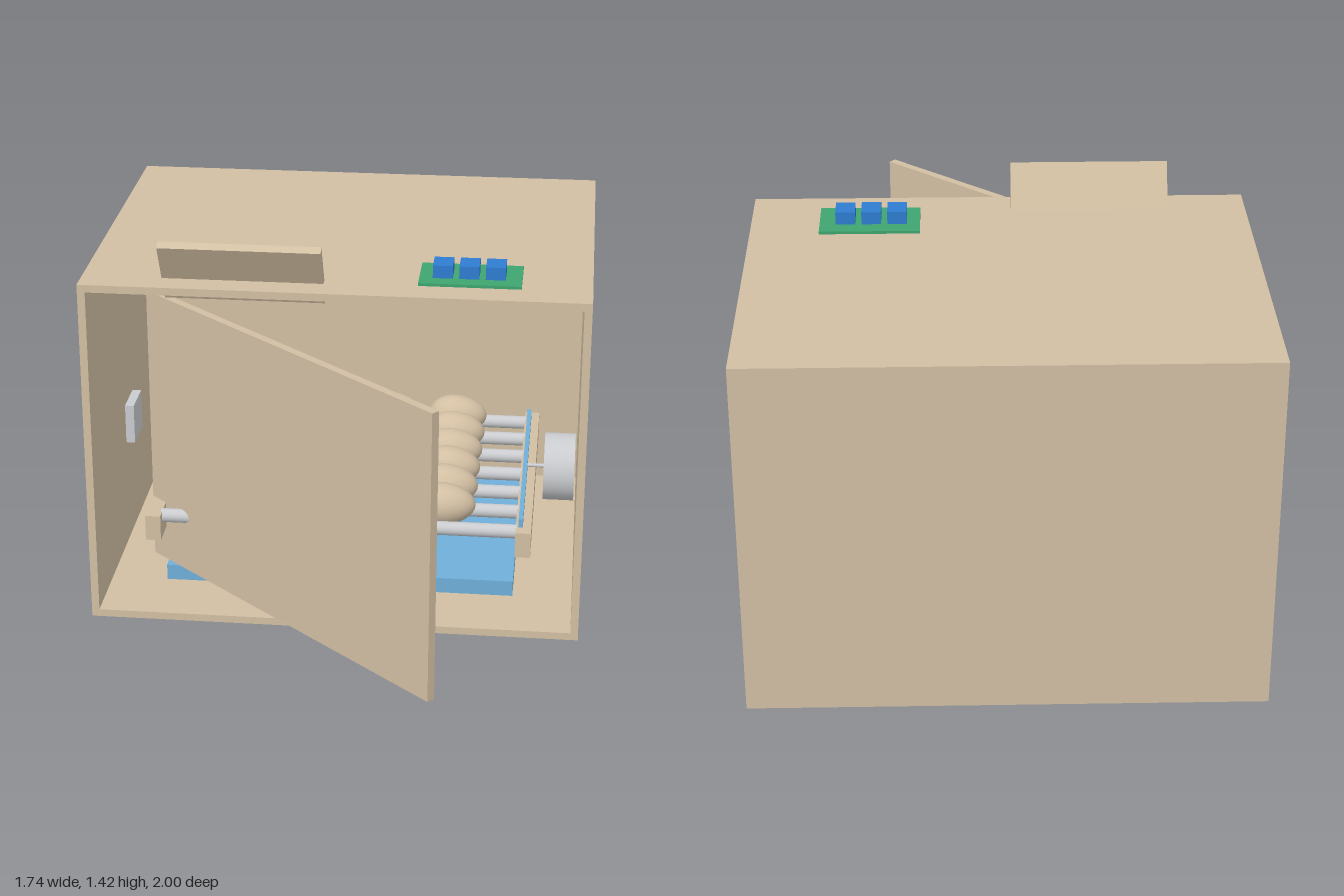
import * as THREE from 'three';

const material = (name, color) => {
  const m = new THREE.MeshStandardMaterial({ color });
  m.name = name;
  return m;
};

export function createModel() {
  const model = new THREE.Group();
  model.name = 'eggIncubator';
  const beige = material('beige', 0xd2bfa3);
  const steel = material('lightGrey', 0xc9cbce);
  const blue = material('waterBlue', 0x6fafd9);
  const green = material('boardGreen', 0x3fa56f);
  const button = material('buttonBlue', 0x2f7dd1);
  const amber = material('bulbAmber', 0xd8943c);

  const add = (name, geometry, mat, x = 0, y = 0, z = 0, parent = model) => {
    const mesh = new THREE.Mesh(geometry, mat);
    mesh.name = name;
    mesh.position.set(x, y, z);
    parent.add(mesh);
    return mesh;
  };
  // Box given by its limits on each axis
  const block = (name, mat, [x0, x1], [y0, y1], [z0, z1], parent = model) =>
    add(name, new THREE.BoxGeometry(x1 - x0, y1 - y0, z1 - z0), mat,
      (x0 + x1) / 2, (y0 + y1) / 2, (z0 + z1) / 2, parent);
  const rod = (radius, length, sides = 32) =>
    new THREE.CylinderGeometry(radius, radius, length, sides).rotateZ(Math.PI / 2);

  // Cabinet, open at the front
  const W = 0.87, H = 1.27, T = 0.027, FRONT = 0.325, MID = -0.34;
  const cabinet = new THREE.Group();
  cabinet.name = 'cabinet';
  model.add(cabinet);
  block('floor', beige, [-W, W], [0, T], [-1, FRONT], cabinet);
  block('roof', beige, [-W, W], [H - T, H], [-1, FRONT], cabinet);
  block('rightWall', beige, [-W, T - W], [T, H - T], [-1, FRONT], cabinet);
  block('leftWall', beige, [W - T, W], [T, H - T], [-1, FRONT], cabinet);
  block('backWall', beige, [T - W, W - T], [T, H - T], [-1, T - 1], cabinet);

  // Door swung ajar and the tilted vent flap on the roof
  const door = add('door', new THREE.BoxGeometry(1.447, 1.03, 0.03), beige, -0.1425, 0.63, 0.5);
  door.rotation.y = -THREE.MathUtils.degToRad(42);
  const flap = add('ventFlap', new THREE.BoxGeometry(0.555, 0.26, 0.03), beige, -0.3175, 1.3, 0.23);
  flap.rotation.x = Math.PI / 6;

  // Control board with three buttons
  block('controlBoard', green, [0.28, 0.63], [H, 1.28], [0.01, 0.215]);
  for (const x of [0.36, 0.45, 0.54])
    block('controlButton', button, [x - 0.034, x + 0.034], [1.28, 1.325], [0.07, 0.16]);

  // Two hanging lamps
  for (const x of [-0.455, 0.455]) {
    add('lampSocket', new THREE.CylinderGeometry(0.075, 0.075, 0.1, 32), steel, x, 1.193, MID);
    add('bulb', new THREE.SphereGeometry(0.09, 32, 20), amber, x, 1.09, MID);
  }

  // Sensor under the roof
  block('sensorMount', beige, [-0.11, 0.11], [1.22, 1.243], [MID - 0.08, MID + 0.08]);
  block('sensorBoard', green, [-0.08, 0.08], [1.203, 1.22], [MID - 0.055, MID + 0.055]);
  add('sensorProbe', new THREE.CylinderGeometry(0.034, 0.034, 0.06, 24), beige, 0, 1.174, MID);

  // Vent fan on the side wall
  block('wallFan', steel, [T - W, -0.81], [0.42, 0.57], [MID - 0.075, MID + 0.075]);

  // Water tray
  block('waterTray', blue, [-0.63, 0.63], [0.055, 0.113], [-0.8, 0.12]);

  // Turning rack: side rails and rollers
  for (const s of [-1, 1])
    block('sideRail', beige, s < 0 ? [-0.69, -0.635] : [0.635, 0.69], [0.25, 0.345], [-0.875, 0.195]);
  const rollerGeometry = rod(0.025, 1.28, 24);
  for (let i = 0; i < 7; i++)
    add('roller', rollerGeometry, steel, 0, 0.325, 0.14 - i * 0.16);

  // Eggs lying between the rollers, slightly pointed towards the left
  const profile = [];
  for (let i = 0; i <= 16; i++) {
    const a = Math.PI * i / 16;
    const y = -Math.cos(a);
    profile.push(new THREE.Vector2(Math.max(0, 0.077 * Math.sin(a) * (1 - 0.12 * y)), 0.112 * y));
  }
  const eggGeometry = new THREE.LatheGeometry(profile, 24).rotateZ(-Math.PI / 2);
  for (let row = 0; row < 6; row++)
    for (let col = 0; col < 4; col++)
      add('egg', eggGeometry, beige, -0.375 + col * 0.25, 0.383, 0.06 - row * 0.16);

  // Motor, its shaft and the link bar that turns the rollers
  add('motor', rod(0.125, 0.113, 40), steel, 0.778, 0.365, MID);
  add('motorShaft', rod(0.007, 0.08, 16), steel, 0.69, 0.365, MID);
  block('linkBar', blue, [0.644, 0.66], [0.347, 0.378], [-0.83, 0.15]);

  return model;
}
